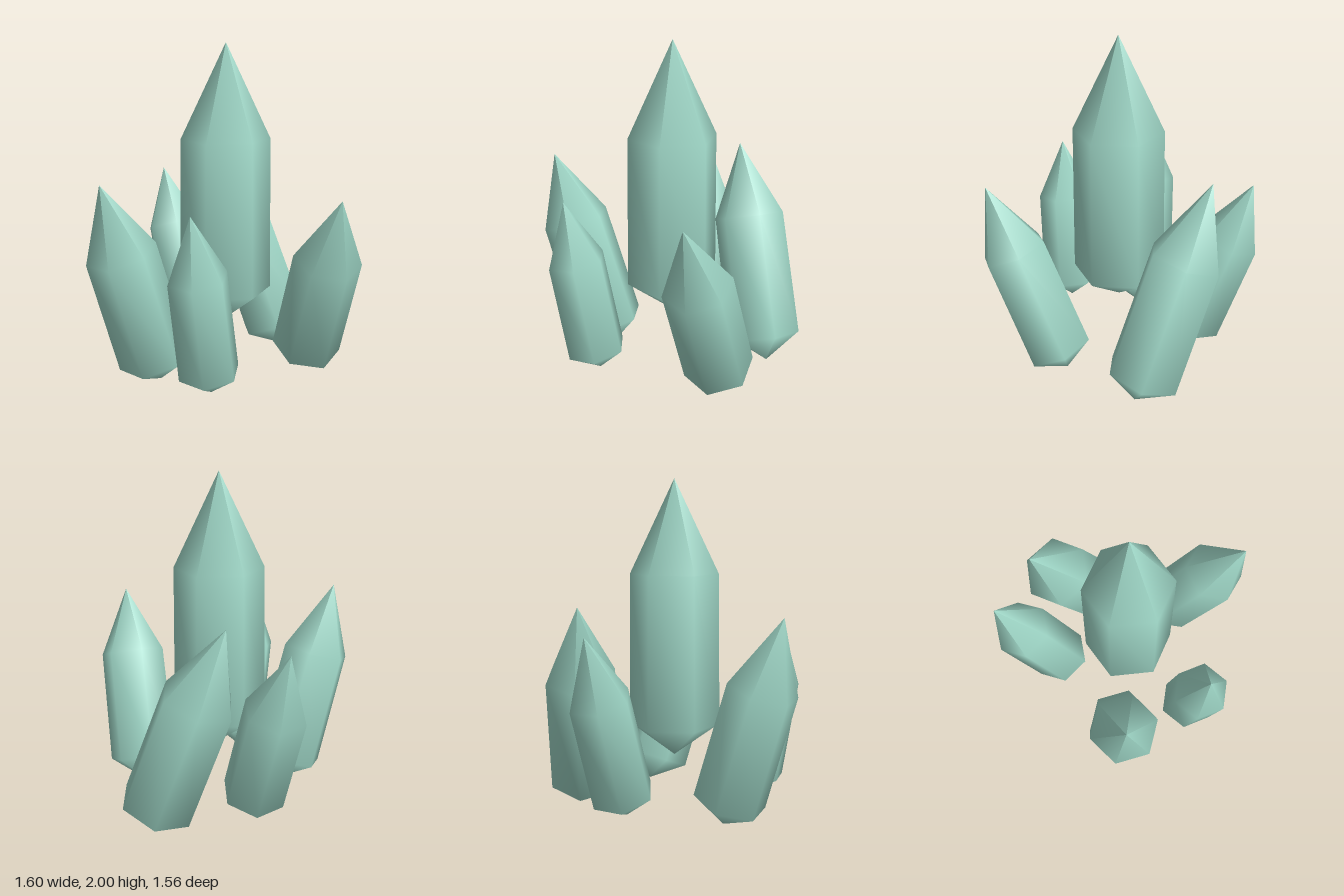
import * as THREE from 'three';

// Each crystal: bottom tip, top apex, radius of the wide ring, twist in degrees
const CRYSTALS = [
  { name: 'centreCrystal', tip: [0.035, 0.35, 0.03], apex: [0.035, 2.0, 0.03], radius: 0.273, twist: 0 },
  { name: 'rightCrystal', tip: [-0.37, 0.02, -0.065], apex: [-0.74, 1.25, -0.065], radius: 0.215, twist: 10 },
  { name: 'frontRightCrystal', tip: [-0.31, 0.09, 0.383], apex: [-0.48, 1.14, 0.44], radius: 0.177, twist: 16 },
  { name: 'frontLeftCrystal', tip: [0.42, 0.06, 0.305], apex: [0.29, 1.18, 0.755], radius: 0.204, twist: -7 },
  { name: 'backLeftCrystal', tip: [0.61, 0.0, -0.115], apex: [0.325, 1.28, -0.51], radius: 0.225, twist: 30 },
  { name: 'backCrystal', tip: [0.085, 0.08, -0.38], apex: [0.08, 1.16, -0.745], radius: 0.188, twist: 34.5 },
];

// Six-sided shard with a blunt lower point and a long upper point
function makeCrystal({ name, tip, apex, radius, twist }, material) {
  const base = new THREE.Vector3(...tip);
  const axis = new THREE.Vector3(...apex).sub(base);
  const length = axis.length();
  const profile = [
    new THREE.Vector2(0, 0),
    new THREE.Vector2(radius, 0.119 * length),
    new THREE.Vector2(radius * 0.96, 0.667 * length),
    new THREE.Vector2(0, length),
  ];
  const geometry = new THREE.LatheGeometry(profile, 6, THREE.MathUtils.degToRad(twist));
  const mesh = new THREE.Mesh(geometry, material);
  mesh.name = name;
  mesh.position.copy(base);
  mesh.quaternion.setFromUnitVectors(new THREE.Vector3(0, 1, 0), axis.normalize());
  return mesh;
}

export function createModel() {
  const group = new THREE.Group();
  group.name = 'crystalCluster';
  const material = new THREE.MeshStandardMaterial({ color: 0xa0d8c8 });
  material.name = 'paleTeal';
  for (const crystal of CRYSTALS) group.add(makeCrystal(crystal, material));
  return group;
}
